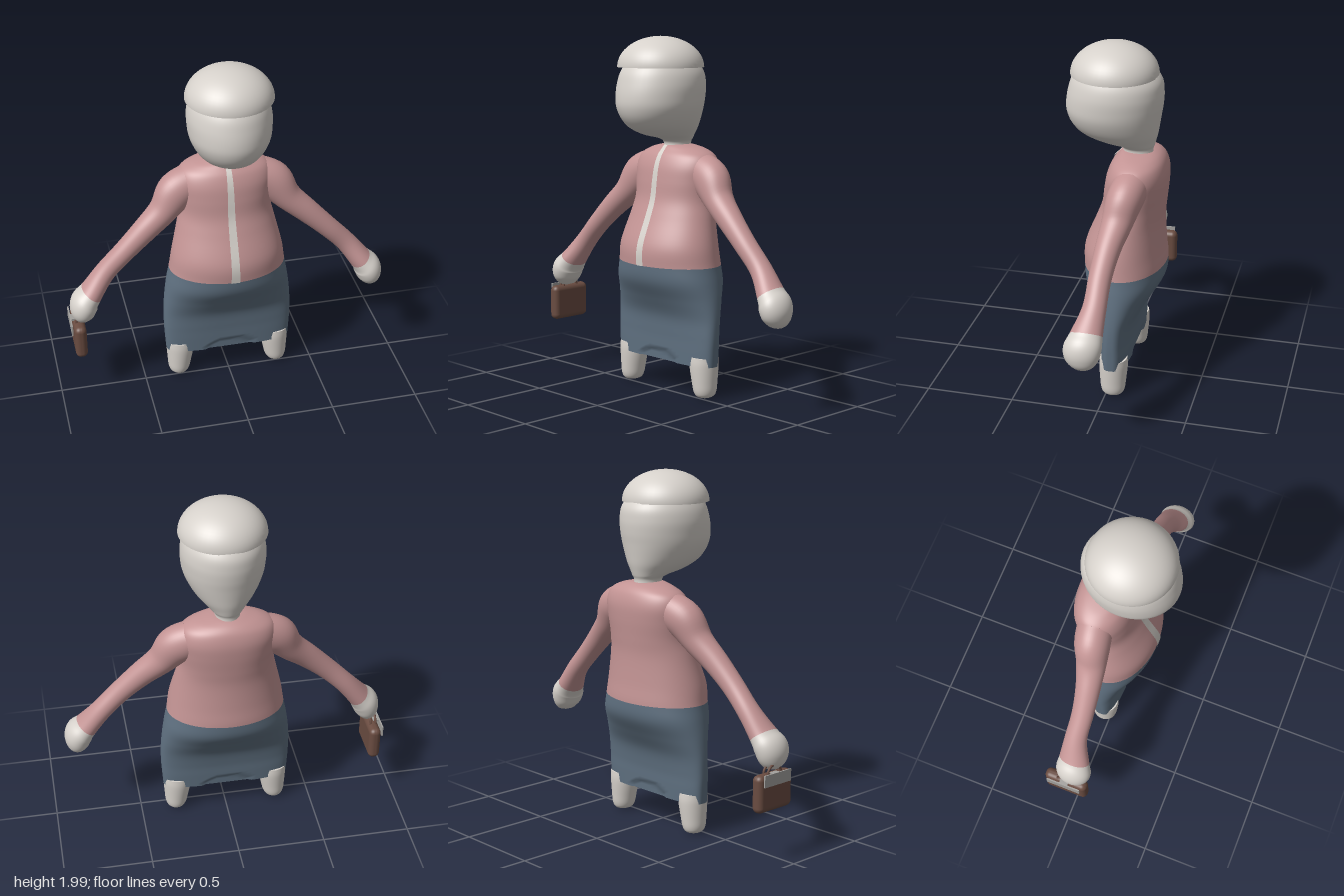
import * as THREE from 'three';
import { RoundedBoxGeometry } from 'three/addons/geometries/RoundedBoxGeometry.js';

const mat = (name, color) => Object.assign(new THREE.MeshStandardMaterial({ color }), { name });

// Smoothly interpolate cross-sections [x, y, z, radiusAcross, radiusZ, exponent]
function sectionAt(sections, t) {
  const last = sections.length - 1;
  const i = Math.min(Math.floor(t), last - 1), f = t - i;
  const get = (k) => sections[Math.max(0, Math.min(last, k))];
  return [0, 1, 2, 3, 4, 5].map((c) => {
    const [a, b, d, e] = [i - 1, i, i + 1, i + 2].map((k) => get(k)[c] ?? 2);
    return b + 0.5 * f * (d - a + f * (2 * a - 5 * b + 4 * d - e + f * (3 * (b - d) + e - a)));
  });
}

// Skin superellipse rings; materials: [start cap, sides before split, sides after split]
function loft(name, sections, materials, split = 0, segs = 48, steps = 6) {
  const rings = (sections.length - 1) * steps;
  const samples = Array.from({ length: rings + 1 }, (_, i) => sectionAt(sections, i / steps));
  const pos = [], idx = [];
  const addRing = (i) => {
    const [x, y, z, rn, rz, e] = samples[i];
    const p = samples[Math.max(0, i - 1)], q = samples[Math.min(rings, i + 1)];
    const len = Math.hypot(q[0] - p[0], q[1] - p[1]);
    const nx = (q[1] - p[1]) / len, ny = -(q[0] - p[0]) / len;
    const pw = (v) => Math.sign(v) * Math.pow(Math.abs(v), 2 / e);
    for (let j = 0; j < segs; j++) {
      const a = (j / segs) * Math.PI * 2;
      const u = pw(Math.cos(a)) * rn, w = pw(Math.sin(a)) * rz;
      pos.push(x + nx * u, y + ny * u, z + w);
    }
  };
  for (let i = 0; i <= rings; i++) addRing(i);
  for (let i = 0; i < rings; i++) {
    for (let j = 0; j < segs; j++) {
      const k = (j + 1) % segs;
      const a = i * segs + j, b = i * segs + k, c = a + segs, d = b + segs;
      idx.push(a, c, b, b, c, d);
    }
  }
  const sideCount = idx.length;
  const cap = (i, flip) => {
    const base = pos.length / 3;
    addRing(i);
    pos.push(...samples[i].slice(0, 3));
    for (let j = 0; j < segs; j++) {
      const a = base + j, b = base + (j + 1) % segs;
      idx.push(base + segs, ...(flip ? [b, a] : [a, b]));
    }
  };
  cap(rings, true);
  const endStop = idx.length;
  cap(0, false);
  const geo = new THREE.BufferGeometry();
  geo.setAttribute('position', new THREE.Float32BufferAttribute(pos, 3));
  geo.setIndex(idx);
  const cut = split * steps * segs * 6;
  if (cut) geo.addGroup(0, cut, 1);
  geo.addGroup(cut, sideCount - cut, 2);
  geo.addGroup(sideCount, endStop - sideCount, 2);
  geo.addGroup(endStop, idx.length - endStop, 0);
  geo.computeVertexNormals();
  const mesh = new THREE.Mesh(geo, materials);
  mesh.name = name;
  return mesh;
}

export function createModel() {
  const ivory = mat('ivory', 0xd6d1cb), pink = mat('dustyPink', 0xc39494);
  const blue = mat('slateBlue', 0x5f7080), brown = mat('brownLeather', 0x6a4c41);
  const grey = mat('claspGrey', 0xa3a19e);
  const model = new THREE.Group();
  const add = (name, geo, material, x = 0, y = 0, z = 0) => {
    const m = new THREE.Mesh(geo, material);
    m.name = name;
    m.position.set(x, y, z);
    model.add(m);
    return m;
  };

  // Skirt and sweater in one skin, split at the waist
  const body = [
    [0, 0.19, -0.038, 0.366, 0.083, 3], [0, 0.27, -0.039, 0.371, 0.086, 3],
    [0, 0.35, -0.04, 0.375, 0.09, 2.8], [0, 0.45, -0.045, 0.375, 0.107, 2.5],
    [0, 0.55, -0.05, 0.367, 0.16, 2.2], [0, 0.65, -0.052, 0.352, 0.217, 2.1],
    [0, 0.74, -0.05, 0.335, 0.23, 2], [0, 0.85, -0.047, 0.318, 0.223, 2],
    [0, 1.0, -0.073, 0.283, 0.19, 2], [0, 1.1, -0.095, 0.262, 0.175, 2.1],
    [0, 1.2, -0.107, 0.265, 0.172, 2.2], [0, 1.28, -0.115, 0.27, 0.165, 2.2],
    [0, 1.34, -0.12, 0.25, 0.145, 2.1], [0, 1.375, -0.122, 0.19, 0.118, 2],
    [0, 1.395, -0.115, 0.11, 0.09, 2], [0, 1.402, -0.11, 0.06, 0.06, 2],
  ];
  const torso = loft('skirtAndSweater', body, [ivory, blue, pink], 6, 96);
  // Shallow arch pressed into the hem, front and back
  const p = torso.geometry.attributes.position;
  for (let i = 0; i < p.count; i++) {
    const x = p.getX(i), arch = 0.19 + 0.06 * Math.sqrt(Math.max(0, 1 - (x / 0.14) ** 2));
    if (Math.abs(x) < 0.14 && p.getY(i) < arch) p.setZ(i, -0.04 + (p.getZ(i) + 0.04) * 0.85);
  }
  torso.geometry.computeVertexNormals();
  model.add(torso);

  // Front stripe following the sweater
  const stripe = new THREE.PlaneGeometry(1, 1, 1, 48);
  const sp = stripe.attributes.position;
  for (let i = 0; i < sp.count; i++) {
    const v = sp.getY(i) + 0.5;
    const s = sectionAt(body, 6 + v * 8);
    sp.setXYZ(i, sp.getX(i) * (0.05 - 0.024 * v), s[1] + 0.003 * v, s[2] + s[4] + 0.004);
  }
  stripe.computeVertexNormals();
  add('frontStripe', stripe, ivory);

  // Arms with hands, and legs
  for (const [side, s] of [['left', 1], ['right', -1]]) {
    const mirror = (list) => list.map(([x, ...rest]) => [x * s, ...rest]);
    model.add(loft(side + 'Arm', mirror([
      [0.19, 1.265, -0.115, 0.1, 0.1], [0.28, 1.21, -0.1, 0.11, 0.1],
      [0.36, 1.11, -0.078, 0.081, 0.085], [0.47, 1.01, -0.055, 0.069, 0.07],
      [0.59, 0.895, -0.042, 0.06, 0.062], [0.7, 0.78, -0.04, 0.058, 0.064],
      [0.79, 0.665, -0.018, 0.066, 0.088], [0.832, 0.61, -0.008, 0.079, 0.102],
      [0.846, 0.55, -0.006, 0.069, 0.09], [0.85, 0.508, -0.01, 0.042, 0.055],
      [0.85, 0.494, -0.01, 0.012, 0.015],
    ]), [pink, pink, ivory], 6));
    model.add(loft(side + 'Leg', mirror([
      [0.284, 0.24, -0.04, 0.08, 0.078], [0.284, 0.19, -0.04, 0.081, 0.081],
      [0.29, 0.1, -0.039, 0.07, 0.074], [0.294, 0.045, -0.039, 0.061, 0.067],
      [0.295, 0.018, -0.039, 0.046, 0.052], [0.295, 0.006, -0.039, 0.016, 0.018],
    ]), [ivory, ivory, ivory]));
  }

  // Head and neck, from [y, half width, front z, back z]
  model.add(loft('headAndNeck', [
    [1.36, 0.075, -0.02, -0.2], [1.41, 0.07, -0.028, -0.195], [1.435, 0.09, 0.01, -0.203],
    [1.46, 0.122, 0.12, -0.21], [1.5, 0.163, 0.21, -0.22], [1.55, 0.195, 0.258, -0.228],
    [1.61, 0.219, 0.283, -0.237], [1.67, 0.228, 0.286, -0.246], [1.74, 0.229, 0.274, -0.249],
    [1.81, 0.212, 0.25, -0.236], [1.87, 0.17, 0.2, -0.18], [1.91, 0.09, 0.11, -0.08],
  ].map(([y, rx, f, b]) => [0, y, (f + b) / 2, rx, (f - b) / 2]), [ivory, ivory, ivory]));

  // Domed cap with a flat underside
  const dome = new THREE.SphereGeometry(0.24, 48, 16, 0, Math.PI * 2, 0, Math.PI / 2);
  add('capDome', dome.scale(1, 0.71, 1), ivory, 0, 1.83, 0.02);
  add('capUnderside', new THREE.CircleGeometry(0.24, 48).rotateX(Math.PI / 2), ivory, 0, 1.83, 0.02);

  // Handbag with two handles and a side plate
  add('handbag', new RoundedBoxGeometry(0.068, 0.205, 0.255, 4, 0.03), brown, -0.873, 0.388, -0.04);
  for (const x of [-0.888, -0.858]) {
    const arc = new THREE.TorusGeometry(0.05, 0.007, 8, 20, Math.PI).rotateY(Math.PI / 2);
    add('bagHandle', arc, brown, x, 0.482, -0.04);
  }
  add('bagPlate', new THREE.BoxGeometry(0.008, 0.065, 0.2), grey, -0.917, 0.465, -0.045);
  add('plateHinge', new THREE.BoxGeometry(0.04, 0.012, 0.05), grey, -0.9, 0.488, -0.045);
  return model;
}
